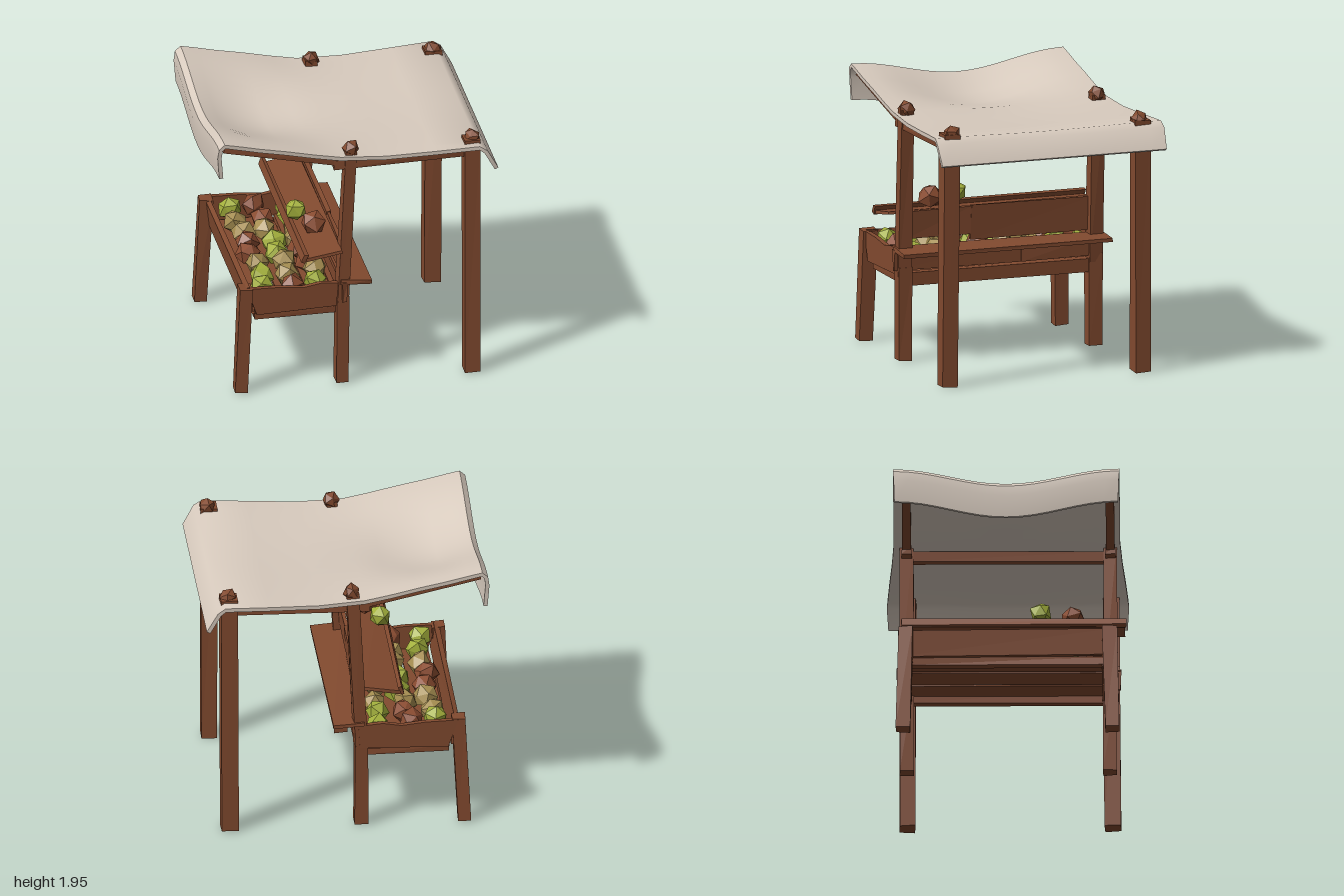
import * as THREE from 'three';
import { toCreasedNormals } from 'three/addons/utils/BufferGeometryUtils.js';

const mat = (name, color) => Object.assign(new THREE.MeshStandardMaterial({ color }), { name });

export function createModel() {
  const wood = mat('wood', 0x824a2f);
  const canvas = mat('canvas', 0xd8cbbe);
  const green = mat('green produce', 0xa3b03c);
  const tan = mat('tan produce', 0xa58d50);
  const russet = mat('russet produce', 0x8a4c31);
  const model = new THREE.Group();

  let seed = 11;
  const rand = () => (seed = (seed * 16807) % 2147483647) / 2147483647;
  const jitter = (a) => (rand() * 2 - 1) * a;

  const add = (name, geometry, material, parent = model) => {
    const mesh = new THREE.Mesh(geometry, material);
    mesh.name = name;
    parent.add(mesh);
    return mesh;
  };

  // Moves every shared corner slightly for a hand-hewn look, keeping facets flat
  const roughen = (geometry, amount) => {
    const g = geometry.index ? geometry.toNonIndexed() : geometry;
    const p = g.attributes.position;
    const moved = new Map();
    for (let i = 0; i < p.count; i++) {
      const v = new THREE.Vector3().fromBufferAttribute(p, i);
      const key = v.toArray().map((n) => Math.round(n * 1000)).join();
      if (!moved.has(key)) moved.set(key, [jitter(amount), jitter(amount), jitter(amount)]);
      const m = moved.get(key);
      p.setXYZ(i, v.x + m[0], v.y + m[1], v.z + m[2]);
    }
    g.computeVertexNormals();
    return g;
  };

  // Box centred at c, tilted about z
  const board = (name, c, size, tilt = 0, rough = 0.005) => {
    const m = add(name, roughen(new THREE.BoxGeometry(...size), rough), wood);
    m.position.set(...c);
    m.rotation.z = tilt;
    return m;
  };

  // Upright leaning from a to b
  const post = (name, a, b, w, d) => {
    const A = new THREE.Vector3(...a), B = new THREE.Vector3(...b);
    const g = new THREE.BoxGeometry(w, A.distanceTo(B), d);
    const m = add(name, roughen(g, 0.005), wood);
    m.position.copy(A).add(B).multiplyScalar(0.5);
    m.quaternion.setFromUnitVectors(new THREE.Vector3(0, 1, 0), B.sub(A).normalize());
  };

  // Bar in the x-y plane from (x0,y0) to (x1,y1) at depth z
  const bar = (name, x0, y0, x1, y1, z, h, d) =>
    board(name, [(x0 + x1) / 2, (y0 + y1) / 2, z], [Math.hypot(x1 - x0, y1 - y0), h, d],
      Math.atan2(y1 - y0, x1 - x0), 0.004);

  // Faceted lump used for finials and produce
  const lump = (name, x, y, z, r, material) => {
    const m = add(name, roughen(new THREE.IcosahedronGeometry(r, 0), r * 0.12), material);
    m.position.set(x, y, z);
    m.rotation.set(rand() * 3, rand() * 3, rand() * 3);
    return m;
  };

  // Frame: uprights, legs, roof rails and rafters on both sides
  for (const s of [1, -1]) {
    const z = s > 0 ? 0.72 : -0.7;
    post('rearPost', [0.82, 0, z + (s > 0 ? 0.015 : 0)], [0.825, 1.8, z], 0.115, 0.115);
    post('middlePost', [-0.1, 0.6, z], [-0.04, 1.8, z], 0.085, 0.1);
    post('middleLeg', [-0.103, 0, z], [-0.103, 0.66, z], 0.09, 0.1);
    post('frontLeg', [-0.825, 0, z + 0.02 * s], [-0.785, 0.79, z], 0.095, 0.1);
    lump('postFinial', 0.83, 1.8, z - 0.01 * s, 0.062, wood);
    lump('postFinial', -0.035, 1.8, z, 0.062, wood);
    bar('roofRail', -0.16, 1.69, 0.82, 1.705, z, 0.065, 0.07);
    bar('roofRafter', -0.94, 1.885, -0.1, 1.7, z, 0.05, 0.06);
    bar('lowerSideRail', -0.72, 0.552, -0.12, 0.552, s * 0.69, 0.045, 0.05);
  }
  board('roofCrossBeam', [-0.05, 1.675, 0], [0.06, 0.07, 1.4]);

  // Crate end panels with a worn top edge
  const end = new THREE.Shape([
    [-0.71, 0.58], [-0.09, 0.6], [-0.08, 0.77], [-0.25, 0.785], [-0.38, 0.762],
    [-0.55, 0.78], [-0.78, 0.785],
  ].map((p) => new THREE.Vector2(...p)));
  for (const z of [0.72, -0.755]) {
    add('crateEnd', new THREE.ExtrudeGeometry(end, { depth: 0.035, bevelEnabled: false }), wood)
      .position.z = z;
  }

  // Crate walls, floor planks and supporting rails
  board('crateFront', [-0.765, 0.69, 0], [0.04, 0.19, 1.48], 0.12, 0.008);
  board('crateBack', [-0.09, 0.715, 0.32], [0.035, 0.15, 0.95]);
  board('crateBack', [-0.085, 0.715, -0.45], [0.035, 0.15, 0.6]);
  for (let i = 0; i < 3; i++) {
    board('floorPlank', [-0.62 + i * 0.21, 0.59, jitter(0.02)], [0.195, 0.025, 1.44]);
  }
  board('lowerBackRail', [-0.1, 0.575, 0], [0.06, 0.1, 1.4]);
  board('lowerFrontRail', [-0.69, 0.575, 0], [0.06, 0.06, 1.4]);

  // Serving ledge, back panels and tilted display shelf
  board('ledge', [-0.01, 0.785, 0.01], [0.22, 0.025, 1.56], -0.07);
  board('backPanel', [-0.1, 0.96, 0.46], [0.03, 0.2, 0.48], -0.06);
  board('backPanel', [-0.1, 0.945, -0.23], [0.03, 0.245, 0.9], -0.06);
  board('shelf', [-0.255, 1.025, 0.05], [0.28, 0.025, 1.55], 0.17);
  board('shelfLip', [-0.385, 1.022, 0.05], [0.028, 0.065, 1.57], -0.35);

  // Produce in the crate and on the shelf
  const produce = new THREE.Group();
  produce.name = 'produce';
  model.add(produce);
  const kinds = [green, tan, russet, tan, green, russet, tan];
  for (let r = 0; r < 8; r++) {
    for (let c = 0; c < 3; c++) {
      produce.add(lump('crateProduce', -0.63 + c * 0.19 + jitter(0.025), 0.725 + jitter(0.02),
        -0.62 + r * 0.177 + jitter(0.02), 0.088, kinds[(r * 3 + c * 2) % 7]));
    }
  }
  produce.add(lump('shelfProduce', -0.25, 1.115, 0.46, 0.09, russet));
  produce.add(lump('shelfProduce', -0.335, 1.115, 0.24, 0.08, green));

  // Awning: rows of [x, edge height, sag at the middle, half width]
  const rows = [
    [-0.982, 1.68, 0.12, 0.78], [-0.995, 1.84, 0.12, 0.785], [-0.985, 1.91, 0.115, 0.79],
    [-0.945, 1.945, 0.115, 0.79], [-0.85, 1.925, 0.13, 0.79], [-0.7, 1.89, 0.165, 0.79],
    [-0.5, 1.85, 0.15, 0.79], [-0.3, 1.805, 0.08, 0.79], [-0.12, 1.77, 0.025, 0.79],
    [0.2, 1.755, 0.015, 0.805], [0.55, 1.768, 0.015, 0.825], [0.86, 1.782, 0.01, 0.84],
    [0.915, 1.745, 0, 0.845], [0.992, 1.605, 0, 0.835],
  ];
  const n = rows.length, cols = 16, ring = 2 * n, thick = 0.028;
  const pos = [], idx = [];
  const quad = (a, b, c, d) => idx.push(a, b, c, a, c, d);
  for (let j = 0; j <= cols; j++) {
    const t = (j / cols) * 2 - 1;
    const line = rows.map(([x, y, sag, half]) =>
      [x, y - sag * Math.cos((t * Math.PI) / 2) ** 2, t * half]);
    const under = line.map(([x, y, z], i) => {
      const p = line[Math.max(i - 1, 0)], q = line[Math.min(i + 1, n - 1)];
      const dx = q[0] - p[0], dy = q[1] - p[1], l = Math.hypot(dx, dy);
      return [x + (dy / l) * thick, y - (dx / l) * thick, z];
    });
    [...line, ...under.reverse()].forEach((v) => pos.push(...v));
  }
  for (let j = 0; j < cols; j++) {
    for (let k = 0; k < ring; k++) {
      const k2 = (k + 1) % ring, a = j * ring, b = a + ring;
      quad(a + k, b + k, b + k2, a + k2);
    }
  }
  for (let i = 0; i < n - 1; i++) {
    const e = cols * ring, u = ring - 1 - i;
    quad(e + i, e + u, e + u - 1, e + i + 1);
    quad(i, i + 1, u - 1, u);
  }
  const cloth = new THREE.BufferGeometry();
  cloth.setAttribute('position', new THREE.Float32BufferAttribute(pos, 3));
  cloth.setIndex(idx);
  add('awning', toCreasedNormals(cloth, 0.7), canvas);

  return model;
}
